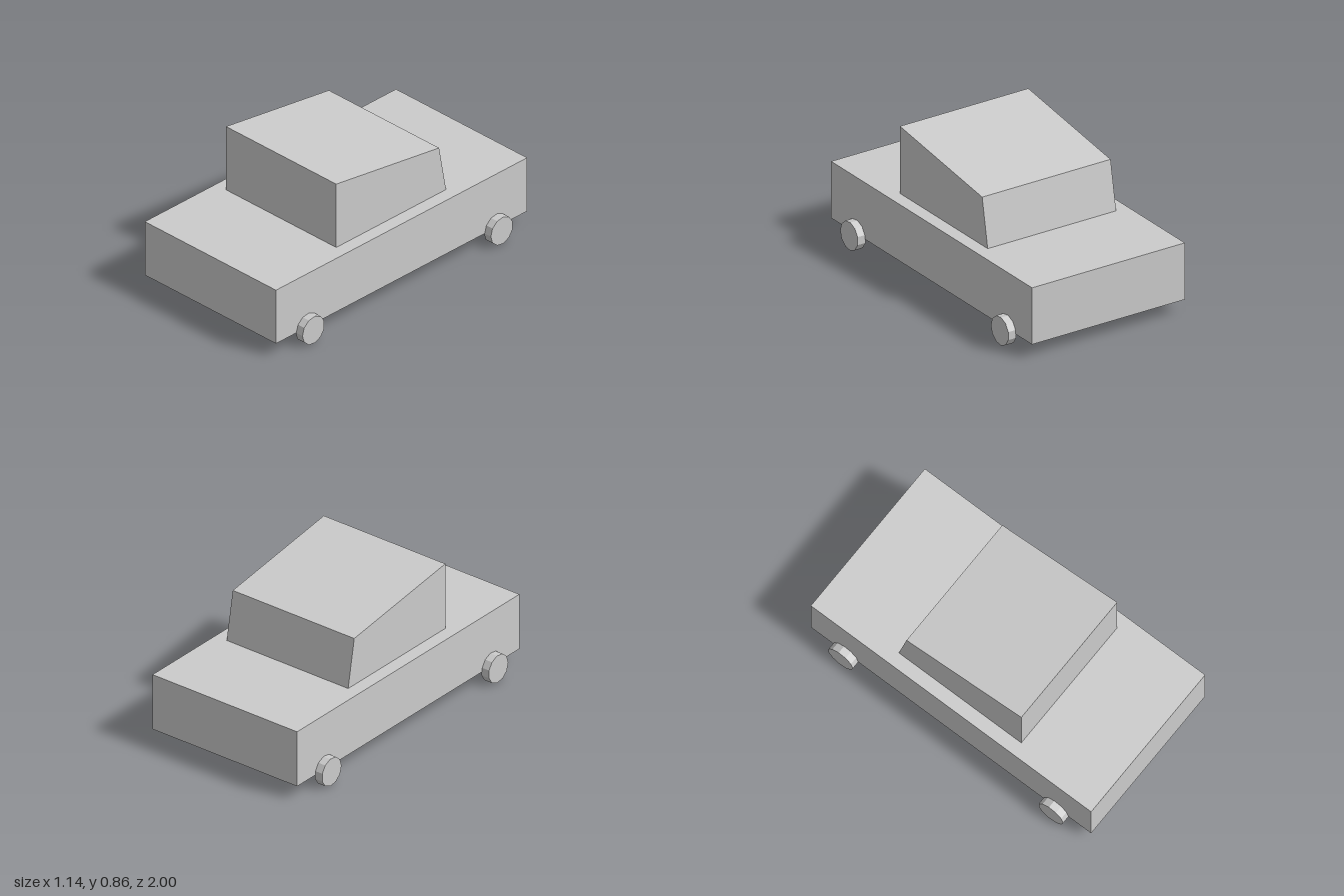
import * as THREE from 'three';

export function createModel() {
  const car = new THREE.Group();
  car.name = 'car';
  const material = new THREE.MeshStandardMaterial({ color: 0xcccccc, flatShading: true });

  const add = (name, geometry, x, y, z) => {
    const mesh = new THREE.Mesh(geometry, material);
    mesh.name = name;
    mesh.position.set(x, y, z);
    car.add(mesh);
  };

  // Slab body
  const bottom = 0.0875, top = 0.44;
  add('body', new THREE.BoxGeometry(1.04, top - bottom, 2), 0, (top + bottom) / 2, 0);

  // Cabin: side profile (z, y) extruded across the width, sloping to the rear
  const width = 0.874;
  const profile = new THREE.Shape([
    [0.437, 0], [0.437, 0.418], [-0.382, 0.299], [-0.437, 0],
  ].map(([z, y]) => new THREE.Vector2(-z, y)));
  const cabin = new THREE.ExtrudeGeometry(profile, { depth: width, bevelEnabled: false });
  cabin.translate(0, 0, -width / 2).rotateY(Math.PI / 2);
  add('cabin', cabin, 0, top, 0);

  // Eleven-sided wheels with one corner pointing forward
  const wheel = new THREE.CylinderGeometry(0.0884, 0.0884, 0.054, 11).rotateZ(Math.PI / 2);
  for (const [sideName, side] of [['Left', 1], ['Right', -1]]) {
    for (const [endName, end] of [['front', 1], ['back', -1]]) {
      add(`${endName}${sideName}Wheel`, wheel, side * 0.542, 0.0875, end * 0.75);
    }
  }
  return car;
}
